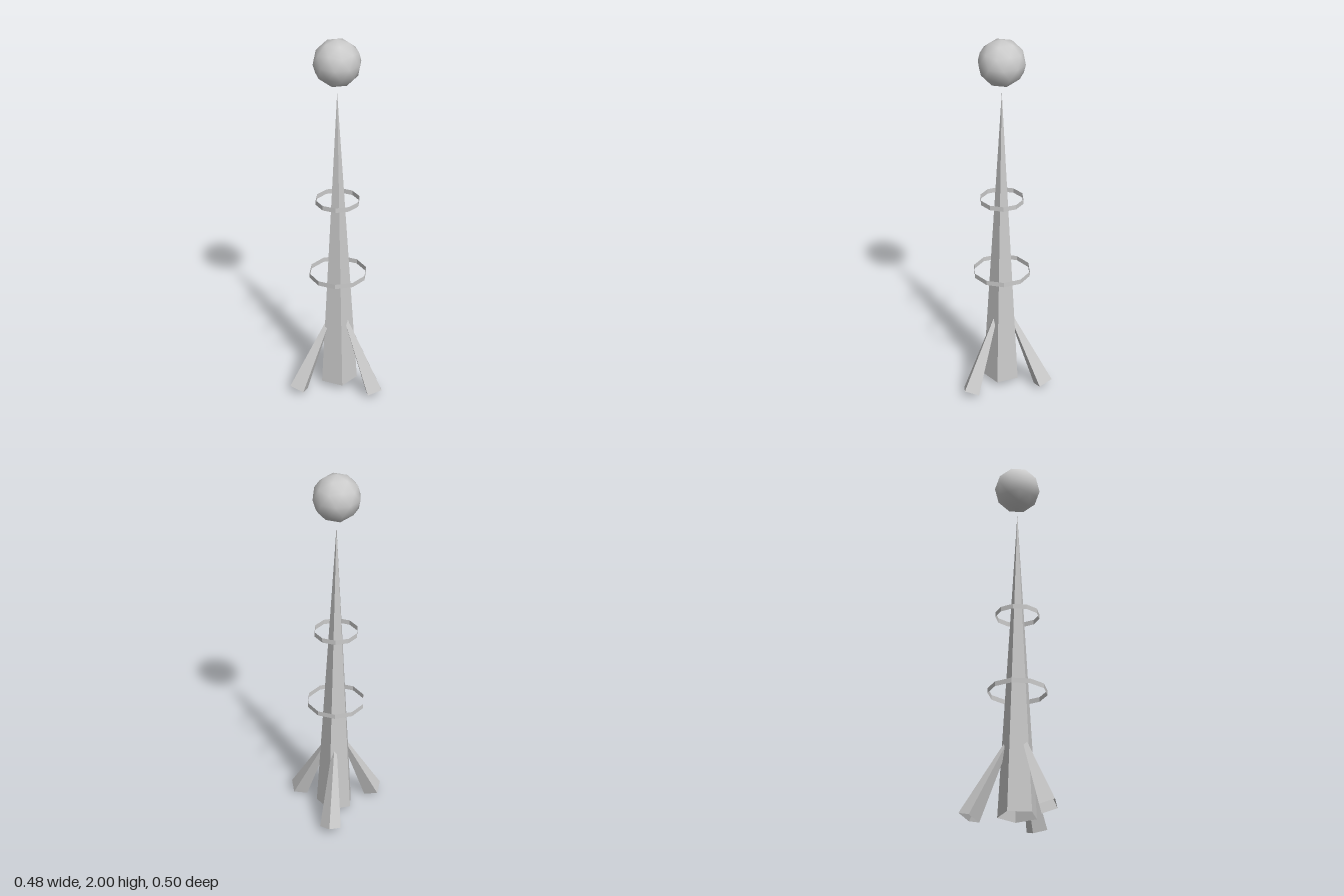
import * as THREE from 'three';

const flat = new THREE.MeshStandardMaterial({ color: 0xcccccc, flatShading: true, side: THREE.DoubleSide });
const smooth = new THREE.MeshStandardMaterial({ color: 0xcccccc });

function addMesh(parent, name, geometry, material) {
  const mesh = new THREE.Mesh(geometry, material);
  mesh.name = name;
  parent.add(mesh);
  return mesh;
}

export function createModel() {
  const model = new THREE.Group();
  model.name = 'spire';

  // Everything is arranged around the spire's axis
  const axis = new THREE.Group();
  axis.name = 'spireAxis';
  axis.position.set(-0.043, 0, 0.03);
  model.add(axis);

  // Five-sided tapering body, open underneath, one corner to the back
  const body = addMesh(axis, 'body', new THREE.ConeGeometry(0.103, 1.69, 5, 1, true), flat);
  body.position.y = 0.032 + 1.69 / 2;
  body.rotation.y = Math.PI;

  // Floating ball with a corner of the icosphere at the top
  const ballGeometry = new THREE.IcosahedronGeometry(0.122, 1);
  ballGeometry.rotateZ(Math.atan2(1, (1 + Math.sqrt(5)) / 2));
  ballGeometry.rotateY(-Math.PI / 2);
  addMesh(axis, 'ball', ballGeometry, smooth).position.y = 1.878;

  // Thin floating bands
  for (const [name, radius, y] of [['lowerRing', 0.153, 0.691], ['upperRing', 0.115, 1.12]]) {
    const ring = addMesh(axis, name, new THREE.CylinderGeometry(radius, radius, 0.026, 10, 1, true), flat);
    ring.position.y = y;
    ring.rotation.y = Math.PI / 2;
  }

  // Splayed four-sided legs, open at the foot, with a corner facing outward
  const tilt = THREE.MathUtils.degToRad(25.5);
  const legRadius = 0.0565;
  const legGeometry = new THREE.ConeGeometry(legRadius, 0.55, 4, 1, true);
  legGeometry.translate(0, 0.55 / 2, 0);
  legGeometry.rotateZ(tilt);
  legGeometry.translate(0.238, legRadius * Math.sin(tilt), 0);
  [12, 130.7, 256.5].forEach((angle, i) => {
    const leg = addMesh(axis, ['leftLeg', 'rightLeg', 'backLeg'][i], legGeometry, flat);
    leg.rotation.y = -THREE.MathUtils.degToRad(angle);
  });

  return model;
}
